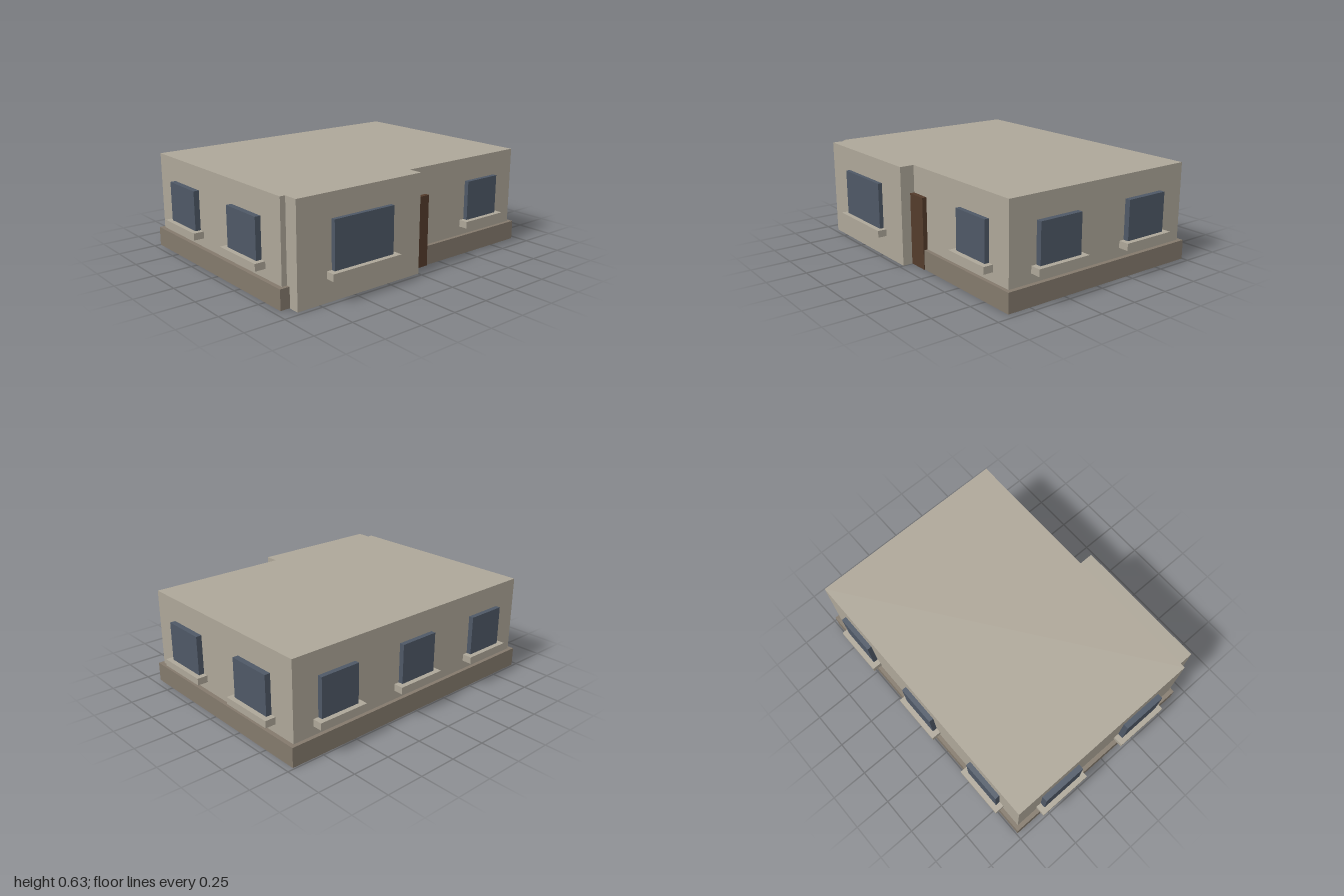
import * as THREE from 'three';

export function createModel() {
  const house = new THREE.Group();
  house.name = 'house';

  const material = (name, color) => {
    const m = new THREE.MeshStandardMaterial({ color });
    m.name = name;
    return m;
  };
  const wall = material('wall stone', 0xada698);
  const base = material('plinth brown', 0x83796c);
  const glass = material('window blue', 0x4e5866);
  const wood = material('door brown', 0x533b2b);

  // Box given by its limits on each axis
  const box = (name, mat, [x0, x1], [y0, y1], [z0, z1], parent = house) => {
    const mesh = new THREE.Mesh(new THREE.BoxGeometry(x1 - x0, y1 - y0, z1 - z0), mat);
    mesh.position.set((x0 + x1) / 2, (y0 + y1) / 2, (z0 + z1) / 2);
    mesh.name = name;
    parent.add(mesh);
  };

  // Walls, projecting front bay, plinth and door
  box('mainWalls', wall, [-0.932, 0.932], [0, 0.627], [-0.717, 0.629]);
  box('frontBay', wall, [-0.898, 0], [0, 0.627], [0.6, 0.722]);
  box('plinth', base, [-0.96, 0.96], [0.002, 0.126], [-0.742, 0.653]);
  box('door', wood, [0, 0.137], [0.001, 0.455], [0.6, 0.658]);

  // Window with a sill, built facing +z with the wall surface at z = 0
  const addWindow = (name, x, z, turn, width, sillWidth, bottom = 0.227) => {
    const group = new THREE.Group();
    group.name = name;
    const w = width / 2, s = sillWidth / 2;
    box('pane', glass, [-w, w], [bottom, 0.479], [-0.02, 0.029], group);
    box('sill', wall, [-s, s], [bottom - 0.044, bottom], [-0.02, 0.061], group);
    group.position.set(x, 0, z);
    group.rotation.y = turn;
    house.add(group);
  };

  addWindow('bayWindow', -0.449, 0.72, 0, 0.432, 0.5, 0.185);
  addWindow('frontWindow', 0.623, 0.629, 0, 0.27, 0.34);
  for (const x of [-0.623, 0, 0.623]) {
    addWindow('backWindow', x, -0.719, Math.PI, 0.27, 0.34);
  }
  for (const side of [-1, 1]) {
    for (const z of [-0.38, 0.292]) {
      addWindow(side > 0 ? 'leftWindow' : 'rightWindow', side * 0.939, z, side * Math.PI / 2, 0.297, 0.367);
    }
  }
  return house;
}
